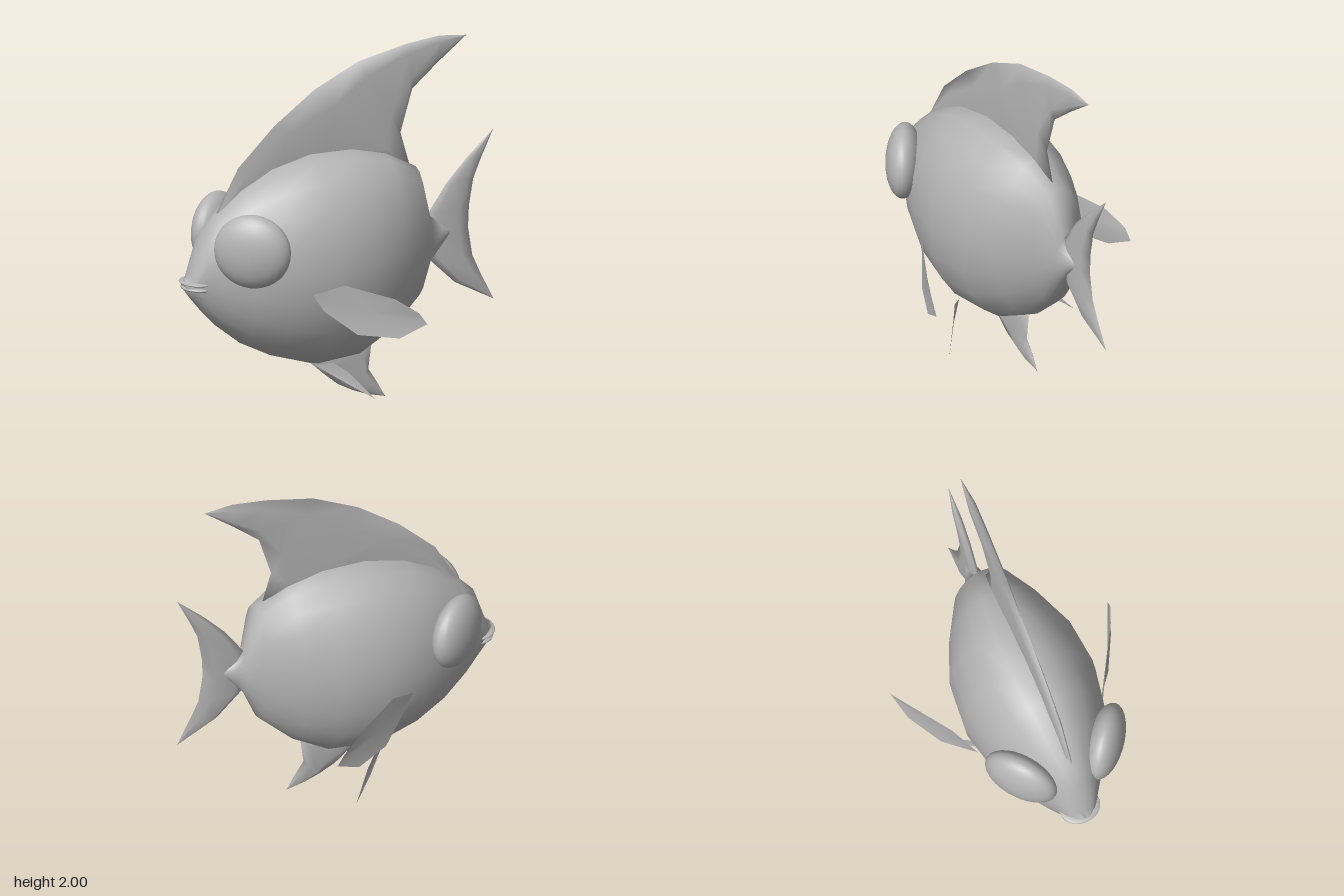
import * as THREE from 'three';

const skin = new THREE.MeshStandardMaterial({ color: 0xb4b4b4 });
skin.name = 'grey';
const thinSkin = skin.clone();
thinSkin.name = 'grey';
thinSkin.side = THREE.DoubleSide;

// Smooth closed skin through rings with equal point counts
function loft(name, rings) {
  const n = rings[0].length;
  const index = [];
  for (let i = 0; i < rings.length - 1; i++) {
    for (let j = 0; j < n; j++) {
      const k = (j + 1) % n;
      const a = i * n + j, b = i * n + k, c = a + n, d = b + n;
      index.push(a, b, c, b, d, c);
    }
  }
  for (let j = 1; j < n - 1; j++) {
    const e = (rings.length - 1) * n;
    index.push(0, j + 1, j, e, e + j, e + j + 1);
  }
  const geo = new THREE.BufferGeometry();
  geo.setAttribute('position', new THREE.Float32BufferAttribute(rings.flat(2), 3));
  geo.setIndex(index);
  geo.computeVertexNormals();
  const mesh = new THREE.Mesh(geo, skin);
  mesh.name = name;
  return mesh;
}

// Upright fin with a lens section; each row is leading x, y, trailing x, y
function uprightFin(name, rows, t) {
  return loft(name, rows.map(([lx, ly, tx, ty]) => {
    const s = t * Math.min(1, Math.hypot(tx - lx, ty - ly) / 0.1);
    const at = (f, z) => [lx + (tx - lx) * f, ly + (ty - ly) * f, z];
    return [at(0, 0), at(0.2, s), at(0.75, s), at(1, 0), at(0.75, -s), at(0.2, -s)];
  }));
}

// Thin leaf-shaped fin, fanned from its middle
function leafFin(name, points, side) {
  const mid = [0, 1, 2].map(c => points.reduce((s, p) => s + p[c], 0) / points.length);
  const verts = [mid, ...points].map(([x, y, z]) => [x, y, z * side]);
  const index = [];
  points.forEach((_, i) => {
    const a = i + 1, b = ((i + 1) % points.length) + 1;
    if (side > 0) index.push(0, b, a);
    else index.push(0, a, b);
  });
  const geo = new THREE.BufferGeometry();
  geo.setAttribute('position', new THREE.Float32BufferAttribute(verts.flat(), 3));
  geo.setIndex(index);
  geo.computeVertexNormals();
  const mesh = new THREE.Mesh(geo, thinSkin);
  mesh.name = name;
  return mesh;
}

function ellipsoid(name, position, scale) {
  const mesh = new THREE.Mesh(new THREE.SphereGeometry(1, 28, 20), skin);
  mesh.name = name;
  mesh.position.set(...position);
  mesh.scale.set(...scale);
  return mesh;
}

export function createModel() {
  const fish = new THREE.Group();
  fish.name = 'fish';

  // Body stations: x, top, bottom, half width
  const stations = [
    [-0.91, 0.80, 0.74, 0.04], [-0.88, 0.83, 0.70, 0.07], [-0.81, 1.05, 0.61, 0.12],
    [-0.73, 1.14, 0.525, 0.175], [-0.58, 1.27, 0.405, 0.265], [-0.40, 1.37, 0.315, 0.345],
    [-0.17, 1.43, 0.245, 0.39], [0.08, 1.43, 0.27, 0.365], [0.28, 1.38, 0.38, 0.28],
    [0.46, 1.28, 0.55, 0.17], [0.535, 1.0, 0.73, 0.065], [0.60, 0.95, 0.81, 0.045],
    [0.67, 0.905, 0.89, 0.012],
  ];
  const sides = 20;
  fish.add(loft('body', stations.map(([x, top, bottom, w]) =>
    Array.from({ length: sides }, (_, j) => {
      const a = (j / sides) * Math.PI * 2;
      return [x, (top + bottom) / 2 + Math.cos(a) * (top - bottom) / 2, Math.sin(a) * w];
    }))));

  // Lips
  fish.add(ellipsoid('upperLip', [-0.83, 0.783, 0], [0.1, 0.016, 0.115]));
  fish.add(ellipsoid('lowerLip', [-0.83, 0.752, 0], [0.09, 0.02, 0.11]));

  // Upright fins on the centre line
  fish.add(uprightFin('dorsalFin', [
    [-0.73, 1.13, -0.70, 1.08], [-0.59, 1.39, -0.35, 1.25], [-0.38, 1.60, 0.05, 1.35],
    [-0.14, 1.78, 0.43, 1.27], [0.12, 1.91, 0.37, 1.48], [0.40, 1.975, 0.44, 1.72],
    [0.60, 2.0, 0.59, 1.85], [0.76, 1.985, 0.76, 1.985],
  ], 0.02));
  fish.add(uprightFin('tailFin', [
    [0.92, 0.48, 0.92, 0.48], [0.69, 0.60, 0.84, 0.64], [0.545, 0.74, 0.795, 0.74],
    [0.52, 0.88, 0.77, 0.90], [0.53, 1.0, 0.775, 1.02], [0.64, 1.16, 0.80, 1.17],
    [0.76, 1.29, 0.845, 1.28], [0.92, 1.44, 0.92, 1.44],
  ], 0.02));
  fish.add(uprightFin('analFin', [
    [0.28, 0.005, 0.28, 0.005], [0.17, 0.03, 0.225, 0.10], [0.09, 0.06, 0.18, 0.17],
    [0.0, 0.105, 0.20, 0.32], [-0.08, 0.17, 0.05, 0.31], [-0.17, 0.25, -0.10, 0.28],
  ], 0.016));

  // Paired eyes and side fins
  const pectoral = [
    [-0.31, 0.74, 0.37], [-0.16, 0.80, 0.455], [0.08, 0.73, 0.59], [0.20, 0.65, 0.64],
    [0.245, 0.585, 0.645], [0.10, 0.51, 0.60], [-0.10, 0.525, 0.495], [-0.25, 0.645, 0.39],
  ];
  const pelvic = [
    [-0.21, 0.28, 0.17], [-0.14, 0.31, 0.25], [-0.07, 0.26, 0.31],
    [0.04, 0.125, 0.415], [-0.09, 0.205, 0.30],
  ];
  for (const side of [1, -1]) {
    const tag = side > 0 ? 'Left' : 'Right';
    const eye = ellipsoid('eye' + tag, [-0.615, 0.99, 0.25 * side], [0.215, 0.205, 0.1]);
    eye.rotation.y = -0.68 * side;
    fish.add(eye);
    fish.add(leafFin('pectoralFin' + tag, pectoral, side));
    fish.add(leafFin('pelvicFin' + tag, pelvic, side));
  }
  return fish;
}
